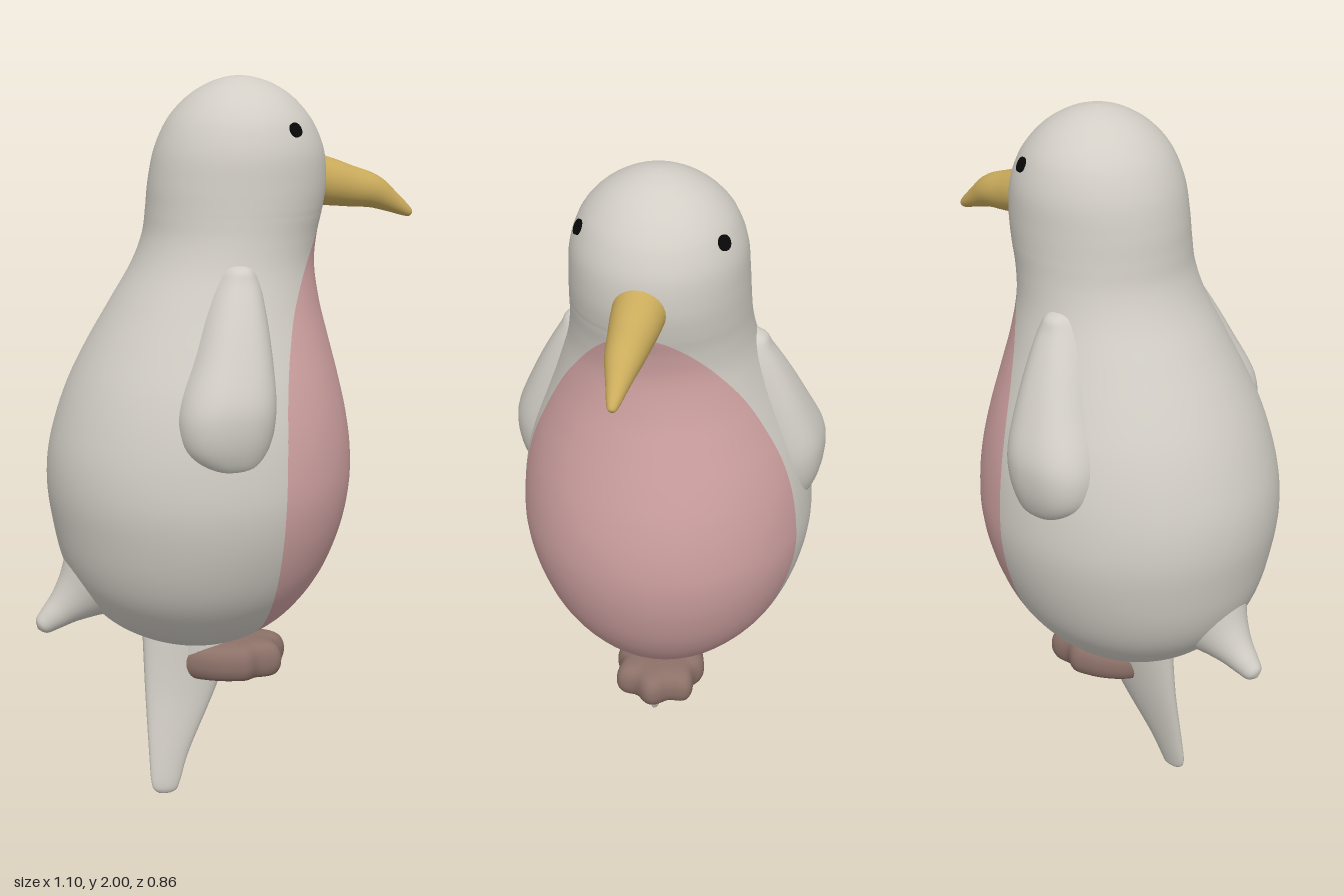
import * as THREE from 'three';
import { mergeVertices } from 'three/addons/utils/BufferGeometryUtils.js';

const mat = (name, color) => {
  const m = new THREE.MeshStandardMaterial({ color });
  m.name = name;
  return m;
};

// Smooth interpolation through rows of numbers, `steps` per interval
function smoothRows(rows, steps) {
  const out = [];
  const at = i => rows[Math.min(rows.length - 1, Math.max(0, i))];
  for (let i = 0; i < rows.length - 1; i++) {
    for (let s = 0; s < steps; s++) {
      const t = s / steps;
      out.push(rows[i].map((b, k) => {
        const a = at(i - 1)[k], c = at(i + 1)[k], d = at(i + 2)[k];
        return b + 0.5 * t * (c - a + t * (2 * a - 5 * b + 4 * c - d + t * (3 * (b - c) + d - a)));
      }));
    }
  }
  out.push(rows[rows.length - 1]);
  return out;
}

// Skin closed rings of points; the first `split` columns form material group 0
function skin(rings, split = 0) {
  const n = rings[0].length, pos = [], index = [];
  rings.forEach(r => r.forEach(p => pos.push(p.x, p.y, p.z)));
  const columns = (from, to) => {
    for (let i = 0; i < rings.length - 1; i++) {
      for (let j = from; j < to; j++) {
        const a = i * n + j, b = i * n + (j + 1) % n;
        index.push(a, a + n, b, b, a + n, b + n);
      }
    }
  };
  columns(0, split);
  const first = index.length;
  columns(split, n);
  let geo = new THREE.BufferGeometry();
  geo.setAttribute('position', new THREE.Float32BufferAttribute(pos, 3));
  geo.setIndex(index);
  if (split) {
    geo.addGroup(0, first, 0);
    geo.addGroup(first, index.length - first, 1);
  }
  geo = mergeVertices(geo, 1e-5);
  geo.computeVertexNormals();
  return geo;
}

// Rows [y, xMin, xMax, zMin, zMax] from bottom to top; power < 1 squares the section
function loft(rows, power = 1, steps = 5, n = 40) {
  const pw = v => Math.sign(v) * Math.abs(v) ** power;
  return skin(smoothRows(rows, steps).map(([y, x0, x1, z0, z1]) =>
    Array.from({ length: n }, (_, j) => {
      const t = j / n * Math.PI * 2;
      return new THREE.Vector3(
        (x0 + x1) / 2 + (x1 - x0) / 2 * pw(Math.cos(t)), y,
        (z0 + z1) / 2 + (z1 - z0) / 2 * pw(Math.sin(t)));
    })));
}

// Tapering tube in the xy plane, rows [x, y, radius]
function taper(rows, steps = 5, n = 28) {
  const pts = smoothRows(rows, steps), side = new THREE.Vector3(0, 0, 1);
  return skin(pts.map(([x, y, r], i) => {
    const a = pts[Math.max(0, i - 1)], b = pts[Math.min(pts.length - 1, i + 1)];
    const up = new THREE.Vector3(b[0] - a[0], b[1] - a[1], 0).normalize().cross(side);
    return Array.from({ length: n }, (_, j) => {
      const t = j / n * Math.PI * 2;
      return new THREE.Vector3(x, y, 0)
        .addScaledVector(up, r * Math.cos(t)).addScaledVector(side, r * Math.sin(t));
    });
  }));
}

// Body rows: y, xMin, xMax, half depth, x where the breast colour begins
const BODY = [
  [0.437, -0.08, -0.08, 0, 0.045], [0.443, -0.16, 0.0, 0.08, 0.045],
  [0.46, -0.235, 0.07, 0.14, 0.042], [0.5, -0.315, 0.14, 0.205, 0.04],
  [0.55, -0.375, 0.195, 0.26, 0.04], [0.62, -0.43, 0.248, 0.315, 0.04],
  [0.7, -0.465, 0.29, 0.355, 0.04], [0.8, -0.487, 0.323, 0.387, 0.04],
  [0.9, -0.5, 0.34, 0.403, 0.041], [1.0, -0.495, 0.34, 0.4, 0.045],
  [1.1, -0.47, 0.326, 0.386, 0.05], [1.2, -0.432, 0.303, 0.36, 0.06],
  [1.3, -0.38, 0.277, 0.323, 0.08], [1.4, -0.32, 0.252, 0.285, 0.11],
  [1.5, -0.26, 0.238, 0.252, 0.16], [1.58, -0.228, 0.245, 0.238, 0.212],
  [1.65, -0.218, 0.262, 0.234, 0.264], [1.72, -0.211, 0.272, 0.231, 0.31],
  [1.8, -0.195, 0.266, 0.225, 0.33], [1.865, -0.168, 0.242, 0.205, 0.33],
  [1.91, -0.137, 0.212, 0.178, 0.33], [1.95, -0.095, 0.172, 0.137, 0.33],
  [1.98, -0.045, 0.122, 0.086, 0.33], [1.995, 0.0, 0.076, 0.04, 0.33],
  [2.0, 0.038, 0.038, 0, 0.33],
];

function bodyGeometry() {
  const front = 28, back = 52;
  return skin(smoothRows(BODY, 6).map(([y, x0, x1, hz, edge]) => {
    const cx = (x0 + x1) / 2, hx = Math.max((x1 - x0) / 2, 1e-7);
    const t0 = Math.acos(THREE.MathUtils.clamp((edge - cx) / hx, -1, 1));
    return Array.from({ length: front + back }, (_, j) => {
      const t = j < front ? -t0 + 2 * t0 * j / front
        : t0 + (2 * Math.PI - 2 * t0) * (j - front) / back;
      return new THREE.Vector3(cx + hx * Math.cos(t), y, hz * Math.sin(t));
    });
  }), front);
}

// Flat webbed foot: narrow heel, scalloped toes towards +x
function footGeometry() {
  const rows = [[0.325, 0], [0.325, 0.6], [0.33, 0.86], [0.35, 0.97], [0.375, 1],
    [0.4, 0.97], [0.42, 0.86], [0.43, 0.6], [0.432, 0]];
  return skin(smoothRows(rows, 3).map(([y, s]) =>
    Array.from({ length: 96 }, (_, j) => {
      const t = j / 96 * Math.PI * 2, c = Math.cos(t);
      const toe = 1 + 0.07 * (Math.cos(8 * t) - 1) * THREE.MathUtils.smoothstep(c, -0.3, 0.3);
      return new THREE.Vector3(0.01 + 0.165 * s * toe * c, y,
        0.15 * s * toe * Math.sin(t) * (0.86 + 0.2 * c));
    })));
}

export function createModel() {
  const group = new THREE.Group();
  const plumage = mat('plumage grey', 0xd2cec6), breast = mat('breast pink', 0xd0a2a2);
  const horn = mat('beak yellow', 0xcbac5c), brown = mat('foot brown', 0x8c7168);
  const black = mat('eye black', 0x080808);
  const add = (name, geo, material) => {
    const m = new THREE.Mesh(geo, material);
    m.name = name;
    group.add(m);
    return m;
  };

  add('body', bodyGeometry(), [breast, plumage]);

  // Wings and eyes, mirrored in z
  const wing = [
    [0.99, -0.09, -0.09, 0.33, 0.33], [1.01, -0.16, -0.03, 0.27, 0.39],
    [1.06, -0.222, 0.005, 0.22, 0.418], [1.13, -0.238, 0.022, 0.2, 0.43],
    [1.2, -0.225, 0.028, 0.18, 0.423], [1.3, -0.182, 0.03, 0.14, 0.382],
    [1.4, -0.143, 0.028, 0.1, 0.333], [1.48, -0.108, 0.022, 0.06, 0.288],
    [1.52, -0.08, 0.0, 0.06, 0.262], [1.535, -0.04, -0.04, 0.18, 0.18],
  ];
  const [eyeY, ex0, ex1, ez] = BODY.find(r => r[0] === 1.865);
  const eyeX = 0.13;
  const eyeZ = ez * Math.sqrt(1 - ((eyeX - (ex0 + ex1) / 2) / ((ex1 - ex0) / 2)) ** 2);
  for (const s of [1, -1]) {
    const label = s > 0 ? 'left' : 'right';
    add(label + 'Wing', loft(wing.map(([y, a, b, c, d]) =>
      s > 0 ? [y, a, b, c, d] : [y, a, b, -d, -c]), 0.8), plumage);
    const normal = new THREE.Vector3(0.095, 0.1, 0.18 * s).normalize();
    const eye = add(label + 'Eye', new THREE.CylinderGeometry(0.02, 0.02, 0.009, 20), black);
    eye.position.set(eyeX, eyeY, eyeZ * s).addScaledVector(normal, 0.001);
    eye.quaternion.setFromUnitVectors(new THREE.Vector3(0, 1, 0), normal);
  }

  add('beak', taper([[0.2, 1.73, 0], [0.205, 1.729, 0.066], [0.28, 1.713, 0.066],
    [0.35, 1.697, 0.057], [0.42, 1.681, 0.047], [0.48, 1.65, 0.03],
    [0.535, 1.618, 0.013], [0.543, 1.613, 0]]), horn);

  add('tail', taper([[-0.3, 0.7, 0.17], [-0.37, 0.645, 0.125], [-0.425, 0.6, 0.08],
    [-0.47, 0.565, 0.052], [-0.51, 0.535, 0.036], [-0.535, 0.516, 0.024],
    [-0.545, 0.509, 0]]), plumage);

  // Flattened tapering support below the body
  add('support', loft([[0.0, -0.2, -0.2, 0.067, 0.067], [0.008, -0.228, -0.172, 0.056, 0.077],
    [0.035, -0.242, -0.158, 0.047, 0.081], [0.12, -0.244, -0.125, 0.023, 0.073],
    [0.3, -0.244, -0.03, -0.028, 0.054], [0.48, -0.244, 0.04, -0.07, 0.05]]), plumage);

  const leg = add('leg', new THREE.CylinderGeometry(0.07, 0.07, 0.1, 24), plumage);
  leg.position.set(-0.07, 0.43, 0);
  leg.scale.x = 1.2;
  add('foot', footGeometry(), brown);
  return group;
}
